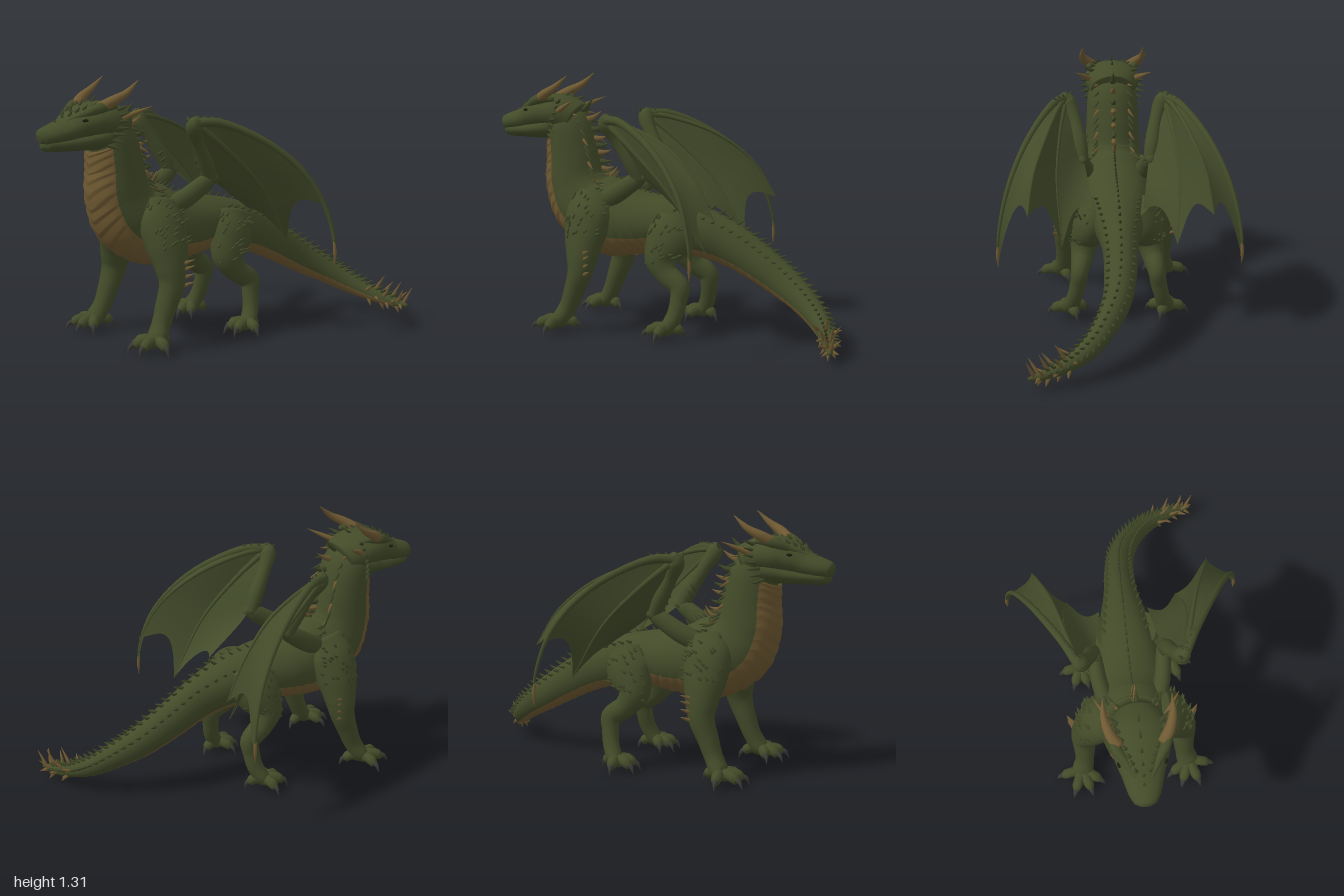
import * as THREE from 'three';
import { mergeGeometries } from 'three/addons/utils/BufferGeometryUtils.js';

const V = (x, y, z) => new THREE.Vector3(x, y, z);
const mat = (name, color, side = THREE.FrontSide) => {
  const m = new THREE.MeshStandardMaterial({ color, side });
  m.name = name;
  return m;
};
const mirror = (pts, s) => pts.map(([x, ...rest]) => [x * s, ...rest]);

// Frame and radii along a path of [x, y, z, halfWidth, halfHeight] sections
function sweep(pts) {
  const path = new THREE.CatmullRomCurve3(pts.map(p => V(p[0], p[1], p[2])));
  const radii = new THREE.CatmullRomCurve3(pts.map(p => V(p[3], p[4] ?? p[3], 0)), false, 'catmullrom', 0.4);
  const span = path.getPoint(1).sub(path.getPoint(0)).normalize();
  const ref = Math.abs(span.x) > 0.8 ? V(0, 0, 1) : V(1, 0, 0);
  const frame = u => {
    const t = path.getTangent(u);
    const side = ref.clone().addScaledVector(t, -t.dot(ref)).normalize();
    return { c: path.getPoint(u), r: radii.getPoint(u), t, side, n: side.clone().cross(t) };
  };
  // Surface point and outward direction
  const at = (u, a, k = 1) => {
    const { c, r, t, side, n } = frame(u);
    const d = side.clone().multiplyScalar(r.x * Math.cos(a) * k).addScaledVector(n, r.y * Math.sin(a) * k);
    return { p: c.clone().add(d), out: d.clone().normalize(), t };
  };
  return { at };
}

// Closed tube over a sweep; belly(u, angle) puts a face in material group 1
function loft(sw, rings, sides, bump = () => 1, belly = null) {
  const pos = [], top = [], under = [];
  for (let i = -1; i <= rings + 1; i++) {
    const u = Math.min(Math.max(i / rings, 0), 1), cap = i < 0 || i > rings ? 0 : 1;
    for (let j = 0; j < sides; j++) {
      const a = j / sides * Math.PI * 2;
      pos.push(...sw.at(u, a, cap * bump(u, a)).p.toArray());
    }
  }
  for (let i = 0; i < rings + 2; i++) for (let j = 0; j < sides; j++) {
    const a = i * sides + j, b = i * sides + (j + 1) % sides, c = a + sides, d = b + sides;
    const list = belly && belly(i / rings, (j + 0.5) / sides * Math.PI * 2) ? under : top;
    list.push(a, c, b, b, c, d);
  }
  const g = new THREE.BufferGeometry();
  g.setAttribute('position', new THREE.Float32BufferAttribute(pos, 3));
  g.setIndex([...top, ...under]);
  if (belly) { g.addGroup(0, top.length, 0); g.addGroup(top.length, under.length, 1); }
  g.computeVertexNormals();
  return g;
}

// Curved thorn from a base point
function thorn(base, dir, len, r, bend = V(0, 0, 0)) {
  const q = k => base.clone().addScaledVector(dir, len * k).addScaledVector(bend, len * k * k);
  const pts = [[-0.15, r], [0.45, r * 0.65], [1, 0.001]].map(([k, w]) => [...q(k).toArray(), w]);
  return loft(sweep(pts), 4, 6);
}

// Ruled skin between two finger curves with a scalloped trailing edge
function membrane(a, b, sag, bulge) {
  const A = new THREE.CatmullRomCurve3(a.map(p => V(...p))), B = new THREE.CatmullRomCurve3(b.map(p => V(...p)));
  const pos = [], idx = [], N = 20, M = 12;
  for (let i = 0; i <= N; i++) for (let j = 0; j <= M; j++) {
    const w = j / M, arch = Math.sin(Math.PI * w), s = i / N * (1 - sag * arch);
    const p = A.getPoint(s).lerp(B.getPoint(s), w);
    p.y += bulge * arch * Math.sin(Math.PI * s);
    pos.push(p.x, p.y, p.z);
    if (i < N && j < M) { const k = i * (M + 1) + j; idx.push(k, k + 1, k + M + 1, k + 1, k + M + 2, k + M + 1); }
  }
  const g = new THREE.BufferGeometry();
  g.setAttribute('position', new THREE.Float32BufferAttribute(pos, 3));
  g.setIndex(idx);
  g.computeVertexNormals();
  return g;
}

export function createModel() {
  const root = new THREE.Group();
  root.name = 'dragon';
  const green = mat('scaleGreen', 0x434b29), dark = mat('spikeGreen', 0x3c4425), gold = mat('bellyGold', 0x6c5730);
  const horn = mat('hornBrown', 0x6e5932), claw = mat('clawGrey', 0x3a3935), eyeMat = mat('eyeDark', 0x1d1c10);
  const skin = mat('wingSkin', 0x434b2a, THREE.DoubleSide);
  let seed = 7;
  const rnd = () => (seed = (seed * 16807) % 2147483647) / 2147483647;
  const add = (name, geo, m, parent = root) => {
    const mesh = new THREE.Mesh(Array.isArray(geo) ? mergeGeometries(geo) : geo, m);
    mesh.name = name;
    parent.add(mesh);
    return mesh;
  };

  // Neck, trunk and tail in one sweep, with chevron scutes underneath
  const body = sweep([
    [0, 1.09, 0.68, 0.11, 0.10], [0, 1.03, 0.61, 0.135, 0.125], [0, 0.90, 0.58, 0.143, 0.145], [0, 0.75, 0.56, 0.152, 0.17],
    [0, 0.645, 0.50, 0.172, 0.195], [0, 0.575, 0.36, 0.19, 0.205], [0, 0.555, 0.20, 0.188, 0.168], [0, 0.555, 0.05, 0.165, 0.142],
    [0, 0.53, -0.12, 0.13, 0.13], [0, 0.47, -0.30, 0.092, 0.112], [0.005, 0.39, -0.45, 0.082, 0.098], [0.03, 0.30, -0.60, 0.072, 0.085],
    [0.09, 0.22, -0.73, 0.06, 0.068], [0.17, 0.15, -0.83, 0.05, 0.053], [0.27, 0.10, -0.90, 0.037, 0.038],
    [0.38, 0.07, -0.95, 0.025, 0.025], [0.46, 0.06, -0.975, 0.008, 0.008]]);
  const bellyHalf = u => u < 0.25 ? 1.0 : u < 0.47 ? 1.0 + 0.22 * Math.sin((u - 0.25) / 0.22 * Math.PI) : 0.9;
  const isBelly = (u, a) => u > 0.06 && u < 0.95 && Math.abs(a - 1.5 * Math.PI) < bellyHalf(u);
  const scutes = (u, a) => isBelly(u, a) ? 0.985 + 0.05 * ((u * 50 + Math.abs(Math.cos(a)) * 1.5) % 1) : 1;
  add('body', loft(body, 300, 48, scutes, isBelly), [green, gold]);

  // Spine crest: brown mane on the neck, green thorns on back and tail
  const mane = [], crest = [], tailTuft = [];
  for (let k = 0; k < 56; k++) {
    const u = 0.05 + k / 55 * 0.88, neck = u < 0.26, s = body.at(u, Math.PI / 2);
    const len = neck ? 0.085 - u * 0.12 : u < 0.5 ? 0.03 : 0.05 - 0.018 * u;
    (neck && k % 2 ? mane : crest).push(thorn(s.p, s.out.clone().addScaledVector(s.t, neck ? 0.2 : 0.9).normalize(), len, len * 0.24, V(0, neck ? 0.3 : 0.1, 0)));
    for (const s2 of [-1, 1]) {
      if (u > 0.3 && u < 0.46) continue;
      const e = body.at(u, Math.PI / 2 + s2 * (neck ? 0.65 : 0.8));
      (neck && k % 3 === 0 ? mane : crest).push(thorn(e.p, e.out.clone().addScaledVector(e.t, 0.8).normalize(), neck ? 0.05 : 0.03, 0.009));
    }
  }
  for (let k = 0; k < 20; k++) {
    const e = body.at(0.86 + 0.12 * k / 19, k * 2.4), up = Math.max(e.out.y, 0);
    tailTuft.push(thorn(e.p, V(e.out.x * 0.6, e.out.y + 0.2, e.out.z * 0.6).addScaledVector(e.t, 0.5).normalize(), 0.035 + 0.06 * up, 0.011));
  }
  add('maneSpikes', mane, horn);
  add('spineSpikes', crest, dark);
  add('tailSpikes', tailTuft, horn);

  // Head: wedge skull, lower jaw and fittings
  const head = new THREE.Group();
  head.name = 'head';
  root.add(head);
  const skull = sweep([[0, 1.045, 0.997, 0.025, 0.02], [0, 1.05, 0.98, 0.055, 0.042], [0, 1.06, 0.93, 0.08, 0.052], [0, 1.075, 0.86, 0.1, 0.063],
    [0, 1.1, 0.79, 0.125, 0.08], [0, 1.115, 0.72, 0.146, 0.093], [0, 1.11, 0.64, 0.148, 0.097], [0, 1.07, 0.56, 0.115, 0.1]]);
  add('skull', loft(skull, 40, 28), green, head);
  add('lowerJaw', loft(sweep([[0, 1.018, 0.985, 0.02, 0.018], [0, 1.016, 0.96, 0.055, 0.034], [0, 1.02, 0.87, 0.088, 0.042],
    [0, 1.028, 0.78, 0.113, 0.052], [0, 1.045, 0.68, 0.135, 0.068], [0, 1.06, 0.60, 0.11, 0.07]]), 24, 24), green, head);
  const faceSpikes = [];
  for (const s of [-1, 1]) {
    add('horn', loft(sweep(mirror([[0.105, 1.18, 0.73, 0.03], [0.14, 1.215, 0.68, 0.026], [0.162, 1.255, 0.61, 0.017], [0.162, 1.315, 0.54, 0.002]], s)), 16, 14), horn, head);
    add('rearHorn', loft(sweep(mirror([[0.11, 1.12, 0.63, 0.018], [0.155, 1.155, 0.56, 0.012], [0.205, 1.19, 0.49, 0.001]], s)), 10, 10), horn, head);
    add('brow', loft(sweep(mirror([[0.035, 1.12, 0.88, 0.008], [0.08, 1.155, 0.80, 0.02], [0.125, 1.19, 0.72, 0.026], [0.12, 1.19, 0.64, 0.012]], s)), 16, 12), green, head);
    const eye = add('eye', new THREE.SphereGeometry(0.015, 14, 10), eyeMat, head);
    eye.position.set(s * 0.109, 1.13, 0.805);
    eye.scale.set(0.7, 0.5, 1.2);
    const nostril = add('nostril', new THREE.SphereGeometry(0.007, 10, 8), eyeMat, head);
    nostril.position.set(s * 0.033, 1.08, 0.978);
    // Cheek frill and crown thorns
    for (let k = 0; k < 7; k++) {
      faceSpikes.push(thorn(V(s * (0.11 + 0.025 * Math.sin(k / 6 * Math.PI)), 1.0 + k * 0.029, 0.67 - 0.008 * k), V(s * 0.65, -0.25 + k * 0.1, -0.65).normalize(), 0.06, 0.012));
      const b = skull.at(0.5 + k * 0.06, Math.PI / 2 - s * (0.3 + 0.08 * k));
      faceSpikes.push(thorn(b.p, b.out.clone().addScaledVector(b.t, 0.9).normalize(), 0.03, 0.01));
    }
  }
  for (let k = 0; k < 6; k++) {
    const b = skull.at(0.35 + k * 0.1, Math.PI / 2);
    faceSpikes.push(thorn(b.p, b.out.clone().addScaledVector(b.t, 0.9).normalize(), 0.012 + k * 0.006, 0.008));
  }
  add('faceSpikes', faceSpikes, dark, head);

  // Legs and feet
  const legs = {
    frontLeg: { path: [[0.12, 0.71, 0.39, 0.06, 0.09], [0.165, 0.61, 0.41, 0.095, 0.125], [0.215, 0.50, 0.415, 0.09, 0.11], [0.25, 0.40, 0.415, 0.075, 0.085],
      [0.265, 0.32, 0.42, 0.064, 0.066], [0.265, 0.22, 0.455, 0.056, 0.053], [0.27, 0.13, 0.49, 0.05, 0.046], [0.285, 0.065, 0.53, 0.056, 0.044], [0.295, 0.045, 0.575, 0.03, 0.024]],
    foot: [0.288, 0.055, 0.53], spread: 1 },
    hindLeg: { path: [[0.09, 0.60, -0.05, 0.08, 0.1], [0.14, 0.51, -0.03, 0.085, 0.125], [0.17, 0.40, 0.01, 0.075, 0.085], [0.185, 0.325, -0.03, 0.058, 0.06],
      [0.20, 0.265, -0.105, 0.046, 0.054], [0.21, 0.20, -0.105, 0.042, 0.044], [0.23, 0.12, -0.09, 0.04, 0.042], [0.25, 0.06, -0.055, 0.046, 0.038], [0.255, 0.045, -0.02, 0.03, 0.024]],
    foot: [0.25, 0.055, -0.055], spread: 0.85 } };
  const toes = [[-0.085, 0.05], [-0.035, 0.09], [0.04, 0.09], [0.1, 0.015], [-0.03, -0.07]];
  for (const [name, leg] of Object.entries(legs)) for (const s of [-1, 1]) {
    const g = new THREE.Group(), limb = sweep(mirror(leg.path, s)), [fx, fy, fz] = leg.foot;
    g.name = name;
    root.add(g);
    add('limb', loft(limb, 48, 24), green, g);
    const toeGeo = [], clawGeo = [], scales = [];
    for (const [tx, tz] of toes) {
      const dx = tx * leg.spread, dz = tz * (leg.spread + 0.1);
      const P = (k, y, r) => [(fx + dx * k) * s, y, fz + dz * k, r];
      toeGeo.push(loft(sweep([P(0.1, fy, 0.034), P(0.6, 0.06, 0.027), P(0.85, 0.052, 0.027), P(1.05, 0.035, 0.018)]), 10, 10));
      clawGeo.push(loft(sweep([P(0.95, 0.045, 0.016), P(1.2, 0.04, 0.012), P(1.4, 0.004, 0.001)]), 8, 8));
    }
    add('toes', toeGeo, green, g);
    add('claws', clawGeo, claw, g);
    // Rough raised scales on the outer upper limb
    for (let k = 0; k < 30; k++) {
      const e = limb.at(0.04 + rnd() * 0.24, (s > 0 ? 0 : Math.PI) + (rnd() - 0.5) * 2.4);
      scales.push(thorn(e.p, e.out.clone().multiplyScalar(0.6).add(V(0, 0.6, -0.8)).normalize(), 0.026, 0.008));
    }
    add('limbScales', scales, green, g);
    // Thorns behind the elbow
    if (name === 'frontLeg') add('elbowThorns', [0.31, 0.35, 0.39, 0.42].map(y =>
      thorn(V(s * 0.3, y, 0.385), V(s * 0.6, 0.35, -0.7).normalize(), 0.07, 0.013)), horn, g);
  }

  // Wings: arm, three long fingers and the skin between them
  const fingers = [
    [[0.26, 1.10, 0.28], [0.32, 1.10, 0.17], [0.46, 0.965, -0.08], [0.56, 0.76, -0.25], [0.607, 0.54, -0.32], [0.61, 0.41, -0.325]],
    [[0.26, 1.10, 0.28], [0.30, 1.08, 0.14], [0.365, 0.99, -0.10], [0.43, 0.84, -0.28], [0.46, 0.66, -0.39]],
    [[0.26, 1.10, 0.28], [0.295, 0.96, 0.11], [0.315, 0.76, -0.09], [0.29, 0.47, -0.28]],
    [[0.25, 1.08, 0.27], [0.20, 0.95, 0.20], [0.17, 0.81, 0.11], [0.125, 0.62, -0.16]]];
  for (const s of [-1, 1]) {
    const wing = new THREE.Group(), f = fingers.map(p => mirror(p, s)), thorns = [];
    wing.name = 'wing';
    root.add(wing);
    add('upperArm', loft(sweep(mirror([[0.12, 0.65, 0.39, 0.045, 0.05], [0.16, 0.72, 0.26, 0.042, 0.05], [0.175, 0.795, 0.14, 0.036, 0.042], [0.18, 0.815, 0.09, 0.018]], s)), 20, 16), green, wing);
    add('forearm', loft(sweep(mirror([[0.175, 0.79, 0.12, 0.032], [0.19, 0.88, 0.16, 0.04], [0.215, 1.0, 0.23, 0.034], [0.25, 1.085, 0.275, 0.042], [0.275, 1.125, 0.265, 0.018]], s)), 24, 16), green, wing);
    f.slice(0, 3).forEach((p, i) => {
      const n = p.length - 1;
      add('finger', loft(sweep(p.map((q, k) => [...q, [0.022, 0.013, 0.015][i] * (1 - k / n) + 0.003])), 32, 10), green, wing);
    });
    add('wingTipClaw', loft(sweep(mirror([[0.609, 0.50, -0.323, 0.006], [0.612, 0.44, -0.326, 0.009], [0.61, 0.38, -0.325, 0.001]], s)), 8, 8), horn, wing);
    [[0.2, 0.005], [0.13, 0.01], [0.1, 0]].forEach(([sag, b], i) => add('wingMembrane', membrane(f[i], f[i + 1], sag, b), skin, wing));
    // Wrist thorns and ragged outer elbow edge
    for (let k = 0; k < 5; k++) {
      thorns.push(thorn(V(s * (0.24 + 0.017 * k), 1.11, 0.3 - 0.03 * k), V(s * (-0.5 + 0.25 * k), 0.7, -0.2 * k).normalize(), 0.03, 0.011));
      thorns.push(thorn(V(s * 0.165, 0.76 + 0.035 * k, 0.14 + 0.015 * k), V(-s * 0.5, 0.6, -0.4).normalize(), 0.035, 0.01));
    }
    add('wingThorns', thorns, dark, wing);
  }
  return root;
}
